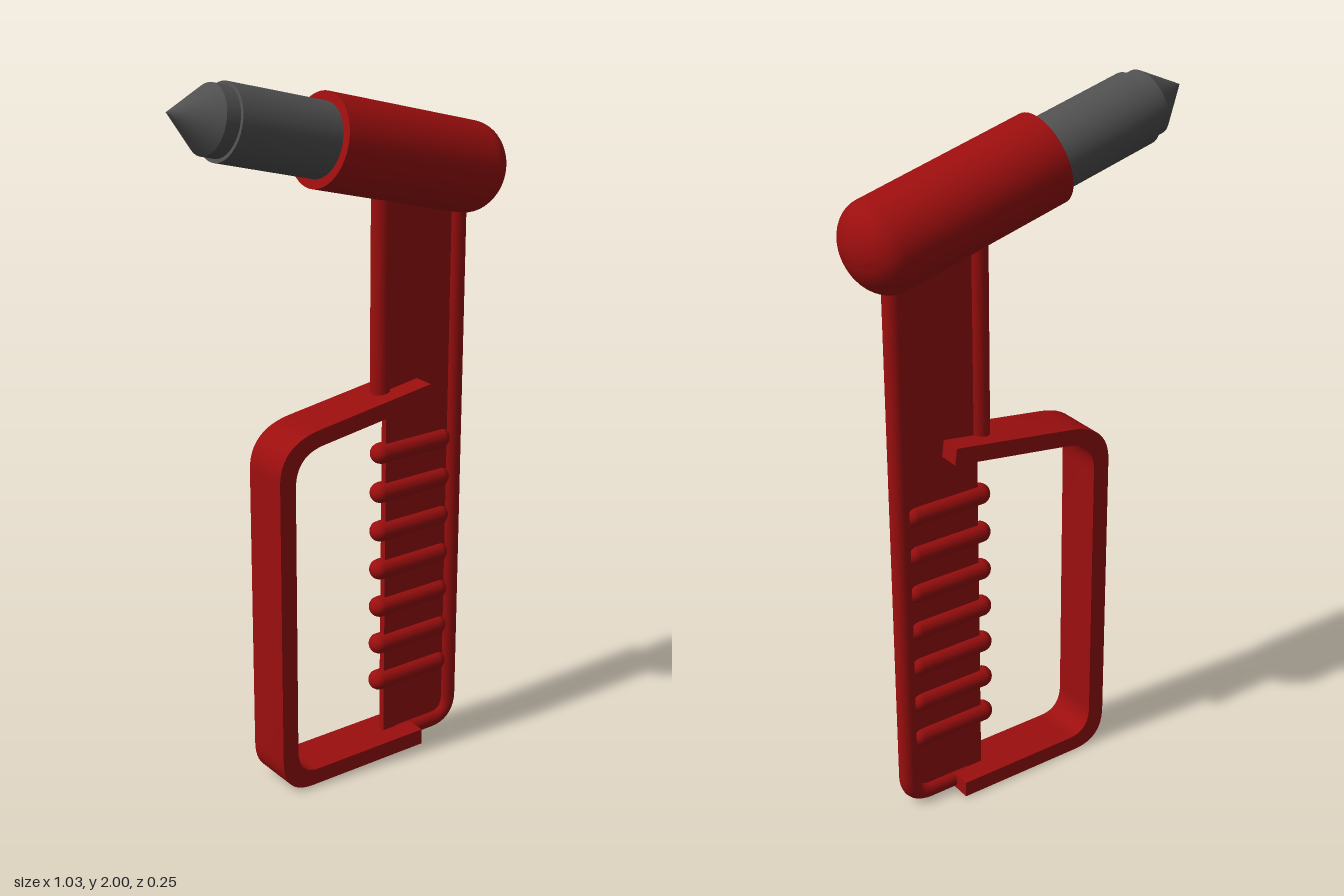
import * as THREE from 'three';
import { toCreasedNormals } from 'three/addons/utils/BufferGeometryUtils.js';

const red = new THREE.MeshStandardMaterial({ color: 0x9c0e0e });
const steel = new THREE.MeshStandardMaterial({ color: 0x505050 });
const v2 = (x, y) => new THREE.Vector2(x, y);
const v3 = (x, y, z = 0) => new THREE.Vector3(x, y, z);

export function createModel() {
  const model = new THREE.Group();

  function add(parent, name, geometry, material = red, x = 0, y = 0, z = 0) {
    const mesh = new THREE.Mesh(geometry, material);
    mesh.name = name;
    mesh.position.set(x, y, z);
    parent.add(mesh);
    return mesh;
  }
  const lathe = (points) => toCreasedNormals(new THREE.LatheGeometry(points, 48), 0.6);

  // Tilted head: local +y runs from the mouth of the housing to its domed back
  const head = new THREE.Group();
  head.name = 'head';
  head.position.set(-0.07, 1.82, 0);
  head.rotation.z = -Math.PI / 2 - Math.PI / 12;
  model.add(head);

  const housing = [v2(0.125, 0), v2(0, 0)].reverse();
  for (let i = 0; i <= 12; i++) {
    const a = (i / 12) * Math.PI / 2;
    housing.push(v2(0.125 * Math.cos(a), 0.5 + 0.096 * Math.sin(a)));
  }
  add(head, 'headHousing', lathe(housing));
  add(head, 'steelShaft', lathe([v2(0, -0.305), v2(0.1, -0.305), v2(0.1, 0.01)]), steel);
  add(head, 'pointedTip', lathe([v2(0, -0.46), v2(0.09, -0.345), v2(0.09, -0.3)]), steel);

  // Thin web of the handle
  add(model, 'handlePlate', new THREE.BoxGeometry(0.235, 1.66, 0.02), red, 0.2625, 0.86);

  // Rounded spine turning under the plate
  const spine = new THREE.CurvePath();
  spine.add(new THREE.LineCurve3(v3(0.386, 1.66), v3(0.386, 0.1)));
  spine.add(new THREE.QuadraticBezierCurve3(v3(0.386, 0.1), v3(0.386, 0.028), v3(0.32, 0.028)));
  spine.add(new THREE.LineCurve3(v3(0.32, 0.028), v3(0.2, 0.028)));
  add(model, 'handleSpine', new THREE.TubeGeometry(spine, 160, 0.027, 16));
  add(model, 'spineEnd', new THREE.SphereGeometry(0.027, 16, 12), red, 0.2, 0.028);

  // Front rail above the guard
  add(model, 'frontRail', new THREE.CapsuleGeometry(0.028, 0.6, 6, 16), red, 0.13, 1.385);

  // Grip ribs across the plate
  for (let i = 0; i < 7; i++) {
    const rib = add(model, 'gripRib', new THREE.CapsuleGeometry(0.03, 0.208, 6, 16), red, 0.238, 0.218 + i * 0.1175);
    rib.rotation.z = Math.PI / 2;
  }

  // Hand guard band
  const s = new THREE.Shape();
  s.moveTo(0.25, 1.122);
  s.lineTo(-0.12, 1.07);
  s.quadraticCurveTo(-0.25, 1.052, -0.25, 0.94);
  s.lineTo(-0.25, 0.11);
  s.quadraticCurveTo(-0.25, 0.003, -0.15, 0.003);
  s.lineTo(0.24, 0.003);
  s.lineTo(0.24, 0.05);
  s.lineTo(-0.13, 0.05);
  s.quadraticCurveTo(-0.2, 0.05, -0.2, 0.13);
  s.lineTo(-0.2, 0.92);
  s.quadraticCurveTo(-0.2, 1.011, -0.11, 1.024);
  s.lineTo(0.256, 1.075);
  s.closePath();
  const guard = new THREE.ExtrudeGeometry(s, { depth: 0.144, bevelEnabled: false, curveSegments: 12 });
  add(model, 'handGuard', toCreasedNormals(guard, 0.6), red, 0, 0, -0.072);

  return model;
}
